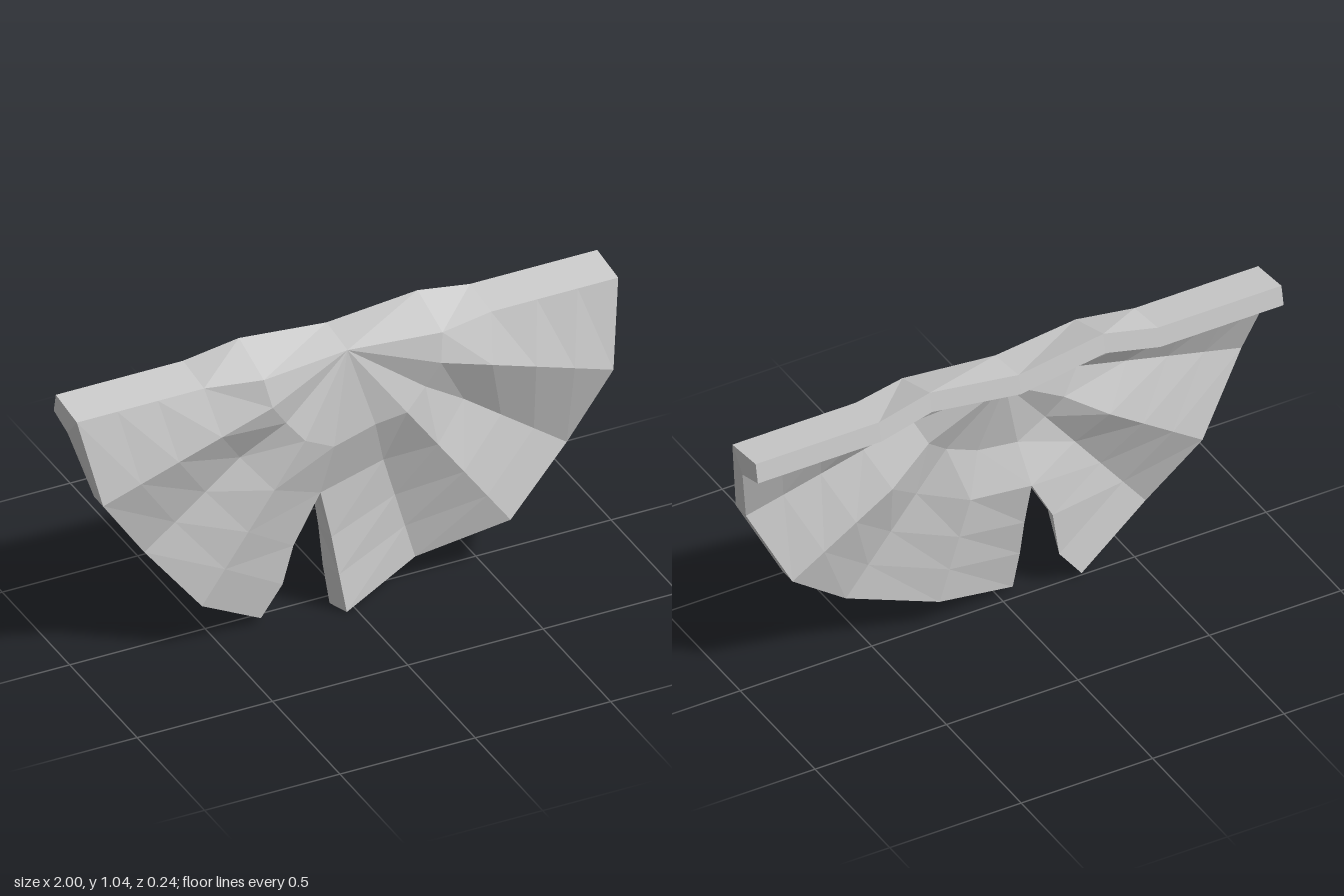
import * as THREE from 'three';

const RINGS = [0, 0.33, 0.53, 0.7, 0.85, 1];
const RIDGE = [0.053, 0.118, 0.118, 0.118, 0.118, 0.118];
const VALLEY = [0.053, 0.095, 0.053, 0.053, 0.053, 0.053];
const TORN = [0.053, 0.095, 0.053, 0.075, 0.097, 0.118];
const THICK = 0.068, TOP = 0.98, DROP = 0.08;

// Collects quads (corners counter-clockwise from outside) into a flat-shaded mesh
function quadMesh(name, build) {
  const pos = [];
  const tri = (...p) => p.forEach(v => pos.push(v[0], v[1], v[2]));
  build((a, b, c, d) => { tri(a, b, c); tri(a, c, d); });
  const geo = new THREE.BufferGeometry();
  geo.setAttribute('position', new THREE.Float32BufferAttribute(pos, 3));
  geo.computeVertexNormals();
  const mesh = new THREE.Mesh(geo, new THREE.MeshStandardMaterial({ color: 0xcccccc, flatShading: true }));
  mesh.name = name;
  return mesh;
}

// A straight pleat crease from the hub to a rim point, on both faces
function crease(x, y, depths) {
  const level = y === TOP;
  const front = RINGS.map((t, j) => [x * t, TOP + (y - TOP) * t, depths[j]]);
  const back = front.map((p, j) => [p[0], p[1] - DROP * (level ? 1 : 1 - RINGS[j]), p[2] - THICK]);
  return { front, back };
}

// A crease that turns into one side of the tear
function tearEdge(frontXY, backXY, depths) {
  const make = (outer, hubY, dz) => [[0, hubY], [-0.07, hubY === TOP ? 0.645 : 0.615], [-0.1, 0.45], ...outer]
    .map(([x, y], j) => [x, y, depths[j] - dz]);
  return { front: make(frontXY, TOP, 0), back: make(backXY, TOP - DROP, THICK) };
}

// Pleated panel between neighbouring creases: front, back, rim and tear wall
function panel(name, rays, tearFirst) {
  return quadMesh(name, quad => {
    for (let i = 0; i < rays.length - 1; i++) {
      const { front: f, back: b } = rays[i], { front: g, back: c } = rays[i + 1];
      for (let j = 0; j < 5; j++) {
        quad(f[j], g[j], g[j + 1], f[j + 1]);
        quad(b[j], b[j + 1], c[j + 1], c[j]);
      }
      quad(f[5], g[5], c[5], b[5]);
    }
    const { front, back } = rays[tearFirst ? 0 : rays.length - 1];
    for (let j = 2; j < 5; j++) {
      if (tearFirst) quad(front[j], front[j + 1], back[j + 1], back[j]);
      else quad(front[j + 1], front[j], back[j], back[j + 1]);
    }
  });
}

export function createModel() {
  const group = new THREE.Group();

  // Left (+x) panel, from the top edge down to the tear
  group.add(panel('leftPleatedPanel', [
    crease(1, TOP, VALLEY),
    crease(0.95, 0.67, RIDGE),
    crease(0.81, 0.39, VALLEY),
    crease(0.57, 0.19, RIDGE),
    crease(0.25, 0.1, VALLEY),
    tearEdge([[-0.07, 0.28], [-0.053, 0.14], [-0.035, 0]], [[-0.085, 0.29], [-0.08, 0.15], [-0.065, 0.005]], TORN),
  ], false));

  // Right (-x) panel, from the tear up to the top edge
  group.add(panel('rightPleatedPanel', [
    tearEdge([[-0.2, 0.27], [-0.24, 0.13], [-0.32, 0.02]], [[-0.18, 0.3], [-0.205, 0.13], [-0.29, 0.02]], VALLEY),
    crease(-0.57, 0.175, RIDGE),
    crease(-0.75, 0.4, VALLEY),
    crease(-0.935, 0.67, RIDGE),
    crease(-1, TOP, VALLEY),
  ], true));

  // Wavy lip folded back along the top
  group.add(quadMesh('topLip', quad => {
    const sections = [-1, -0.53, -0.33, 0, 0.33, 0.53, 1].map(x => {
      const w = Math.abs(x) === 0.33 ? 1 : 0;
      const z = 0.053 + 0.042 * w;
      return [
        [x, TOP, z],
        [x, 1 + 0.04 * w, -0.103 + 0.013 * w],
        [x, 0.93 + 0.04 * w, -0.118 + 0.013 * w],
        [x, TOP - DROP, z - THICK],
      ];
    });
    for (let k = 0; k < sections.length - 1; k++) {
      const a = sections[k], b = sections[k + 1];
      for (let j = 0; j < 3; j++) quad(a[j], b[j], b[j + 1], a[j + 1]);
    }
    const s = sections[0], e = sections[sections.length - 1];
    quad(s[0], s[1], s[2], s[3]);
    quad(e[0], e[3], e[2], e[1]);
  }));

  return group;
}
